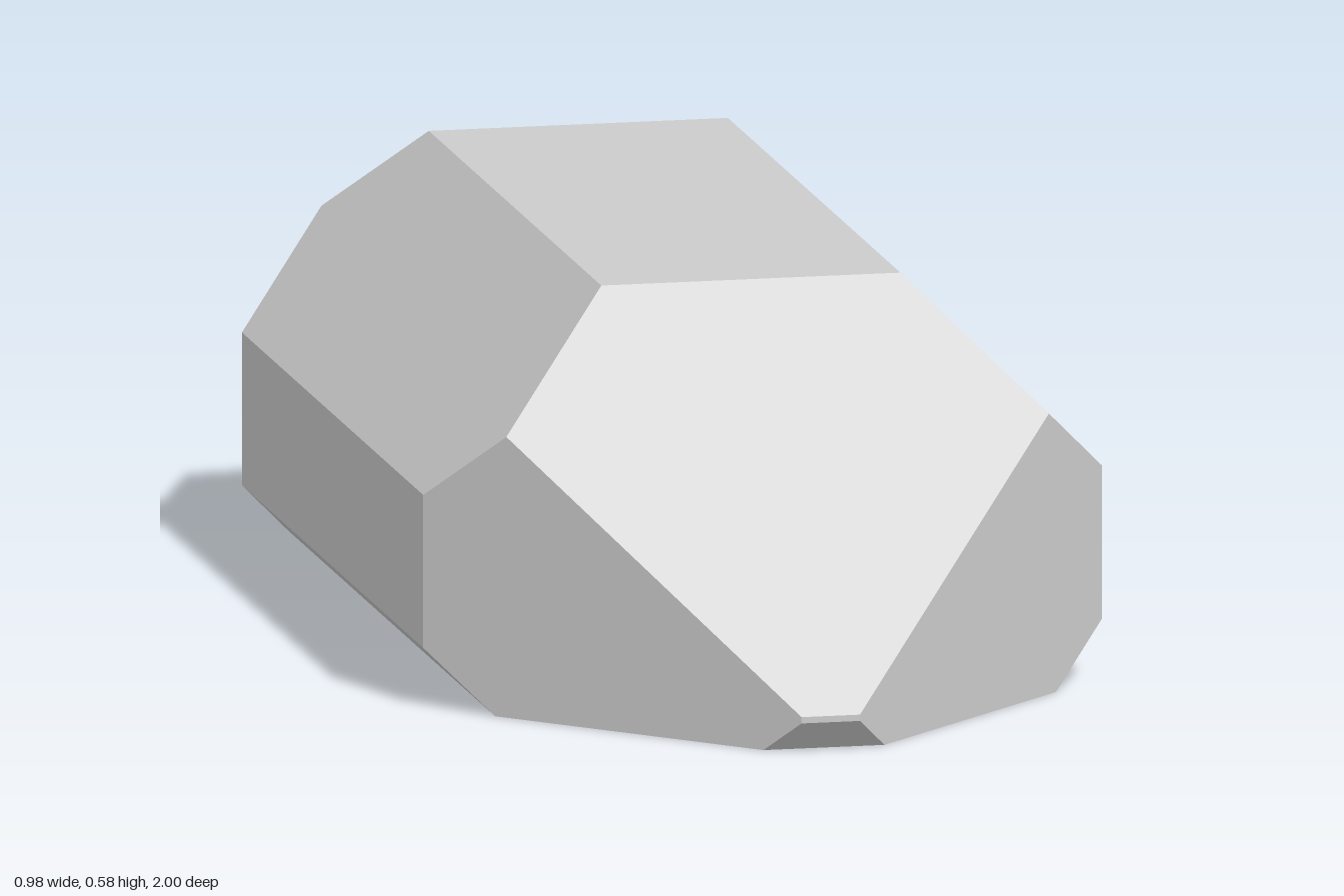
import * as THREE from 'three';
import { ConvexGeometry } from 'three/addons/geometries/ConvexGeometry.js';

const W = 0.488, H = 0.577; // half width and height
const TOP = 0.792;          // upper side bevel: x + y = TOP
const LOW = 0.403;          // lower side bevel: x - y = LOW

// Corners of one tapered end (x > 0 half), d = distance along the crystal.
// Its 45 degree bevels: y + d = upper, x + d = side, d - y = lower, cut flat at d = 1.
function endCorners(upper, side, lower) {
  const half = (TOP + upper + side) / 2;
  return [
    [TOP - H, H, upper - H],
    [half - upper, half - side, half - TOP],
    [W, TOP - W, side - W],
    [W, W - LOW, side - W],
    [LOW, 0, side - LOW],
    [side - lower, 0, lower],
    [side - 1, 1 - lower, 1],
    [side - 1, upper - 1, 1],
  ];
}

export function createModel() {
  const points = [];
  const addEnd = (corners, dir) => {
    for (const [x, y, d] of corners) {
      for (const s of [1, -1]) points.push(new THREE.Vector3(s * x, y, dir * d));
    }
  };
  addEnd(endCorners(1.054, 1.042, 0.955), 1);  // pointed front
  addEnd(endCorners(1.229, 1.12, 0.92), -1);   // blunter back

  // Faceted crystal body with flat faces
  const body = new THREE.Mesh(
    new ConvexGeometry(points),
    new THREE.MeshStandardMaterial({ color: 0xcccccc, flatShading: true })
  );
  body.name = 'crystalBody';

  const group = new THREE.Group();
  group.name = 'crystal';
  group.add(body);
  return group;
}
